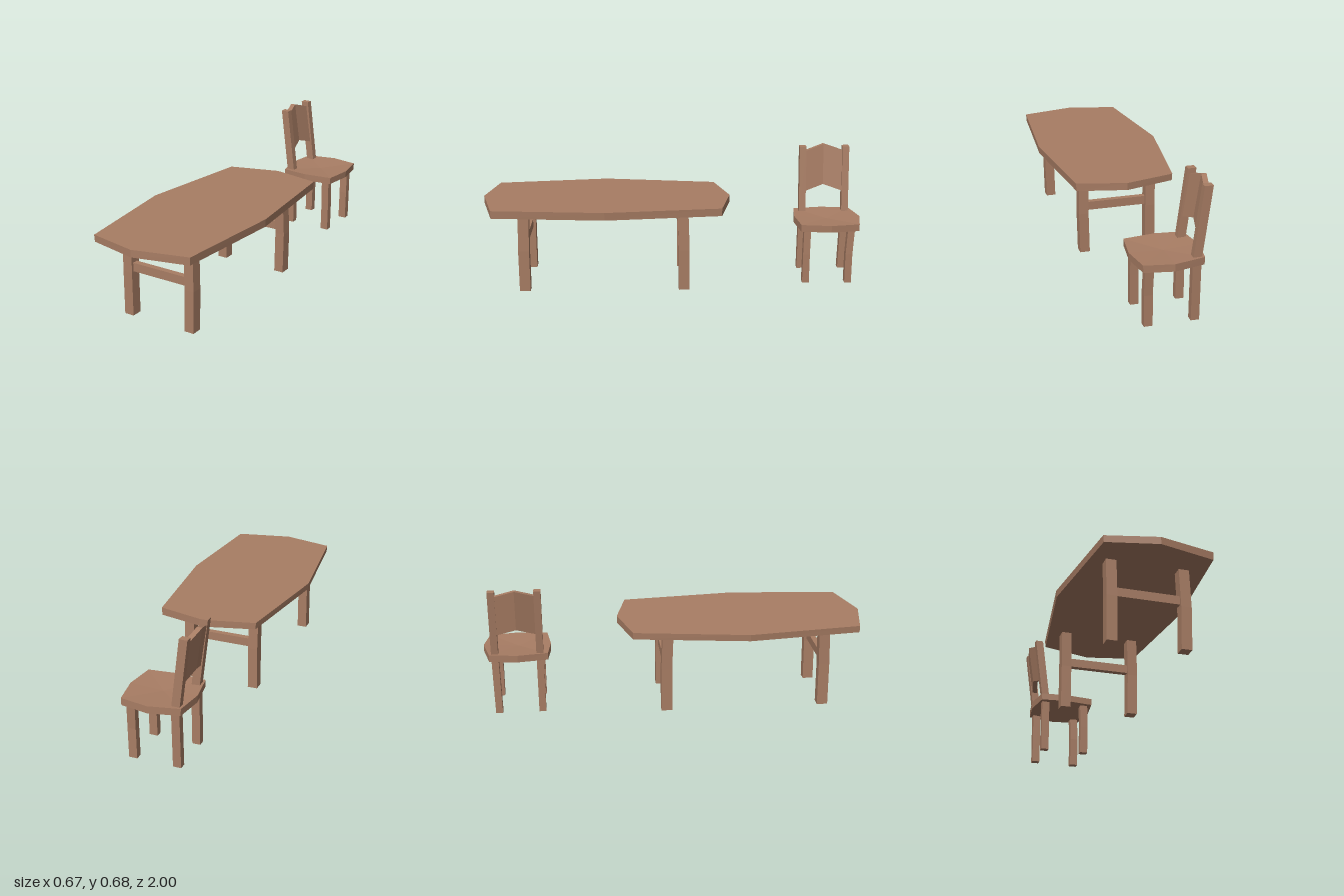
import * as THREE from 'three';

const wood = new THREE.MeshStandardMaterial({ color: 0xa87d64, flatShading: true });
wood.name = 'wood';

// Skins a stack of closed rings (counter-clockwise from above, bottom ring first) and fans both caps.
function loft(name, rings, bottomCentre, topCentre) {
  const pos = [];
  const tri = (a, b, c) => pos.push(...a, ...b, ...c);
  const n = rings[0].length, last = rings.length - 1;
  const mean = r => [0, 1, 2].map(k => r.reduce((s, p) => s + p[k], 0) / n);
  const low = bottomCentre || mean(rings[0]), high = topCentre || mean(rings[last]);
  for (let i = 0; i < n; i++) {
    const j = (i + 1) % n;
    for (let r = 0; r < last; r++) {
      const a = rings[r], b = rings[r + 1];
      tri(a[i], a[j], b[j]);
      tri(a[i], b[j], b[i]);
    }
    tri(low, rings[0][j], rings[0][i]);
    tri(high, rings[last][i], rings[last][j]);
  }
  const g = new THREE.BufferGeometry();
  g.setAttribute('position', new THREE.Float32BufferAttribute(pos, 3));
  g.computeVertexNormals();
  const mesh = new THREE.Mesh(g, wood);
  mesh.name = name;
  return mesh;
}

// Post with a rectangular section; sections are [x, y, z] centres.
function post(name, w, d, sections) {
  return loft(name, sections.map(([x, y, z]) => [
    [x - w / 2, y, z + d / 2], [x + w / 2, y, z + d / 2],
    [x + w / 2, y, z - d / 2], [x - w / 2, y, z - d / 2]]));
}

// Slab from an [x, z] outline.
function slab(name, outline, y0, y1, tilt, low, high) {
  const ring = (y, t, s) => outline.map(([x, z]) => [x * s, y + t * x, z]);
  return loft(name, [ring(y0, 0, 0.99), ring(y1, tilt, 1)], low, high);
}

function makeTable() {
  const table = new THREE.Group();
  table.name = 'table';
  table.add(slab('tableTop', [
    [-0.335, 0.36], [-0.26, 0.94], [0, 0.995], [0.285, 0.925],
    [0.33, 0.35], [0.265, -0.245], [0.01, -0.3], [-0.25, -0.23]], 0.421, 0.459, 0.01));
  // Slightly bowed legs, with a rail joining each end pair
  for (const [z, dz] of [[0.775, -0.005], [-0.055, 0.007]]) {
    table.add(post('tableLeg', 0.052, 0.056, [[-0.179, 0, z], [-0.178, 0.23, z], [-0.18, 0.43, z + dz]]));
    table.add(post('tableLeg', 0.052, 0.056, [[0.181, 0, z], [0.186, 0.22, z], [0.181, 0.43, z + dz]]));
    const rail = new THREE.Mesh(new THREE.BoxGeometry(0.33, 0.045, 0.03), wood);
    rail.name = 'tableRail';
    rail.position.set(0.002, 0.2575, z);
    table.add(rail);
  }
  return table;
}

function makeChair() {
  const chair = new THREE.Group();
  chair.name = 'chair';
  // Dished seat
  chair.add(slab('seat', [
    [-0.185, -0.82], [-0.16, -0.665], [-0.02, -0.65], [0.14, -0.67],
    [0.16, -0.825], [0.135, -0.975], [-0.01, -1.0], [-0.165, -0.965]],
  0.293, 0.33, 0, [-0.01, 0.277, -0.82], [-0.01, 0.32, -0.82]));
  // Front legs, and rear legs that run on into the leaning back posts
  for (const [z, dz] of [[-0.704, -0.002], [-0.929, -0.008]]) {
    chair.add(post('frontLeg', 0.043, 0.036, [[0.098, 0, z], [0.1, 0.16, z], [0.097, 0.3, z + dz]]));
    chair.add(post('backPost', 0.042, 0.036,
      [[-0.131, 0, z], [-0.131, 0.31, z + dz], [-0.178, 0.676, z + dz]]));
  }
  // Chevron back panel, leaning with the posts
  const ring = (yEnd, yMid, lean) => [
    [-0.213 + lean, yMid, -0.82], [-0.192 + lean, yEnd, -0.72], [-0.166 + lean, yEnd, -0.72],
    [-0.187 + lean, yMid, -0.82], [-0.166 + lean, yEnd, -0.925], [-0.192 + lean, yEnd, -0.925]];
  chair.add(loft('backPanel', [ring(0.435, 0.468, 0.032), ring(0.65, 0.683, 0)],
    [-0.168, 0.468, -0.82], [-0.2, 0.683, -0.82]));
  return chair;
}

export function createModel() {
  const model = new THREE.Group();
  model.name = 'tableAndChair';
  model.add(makeTable(), makeChair());
  return model;
}
